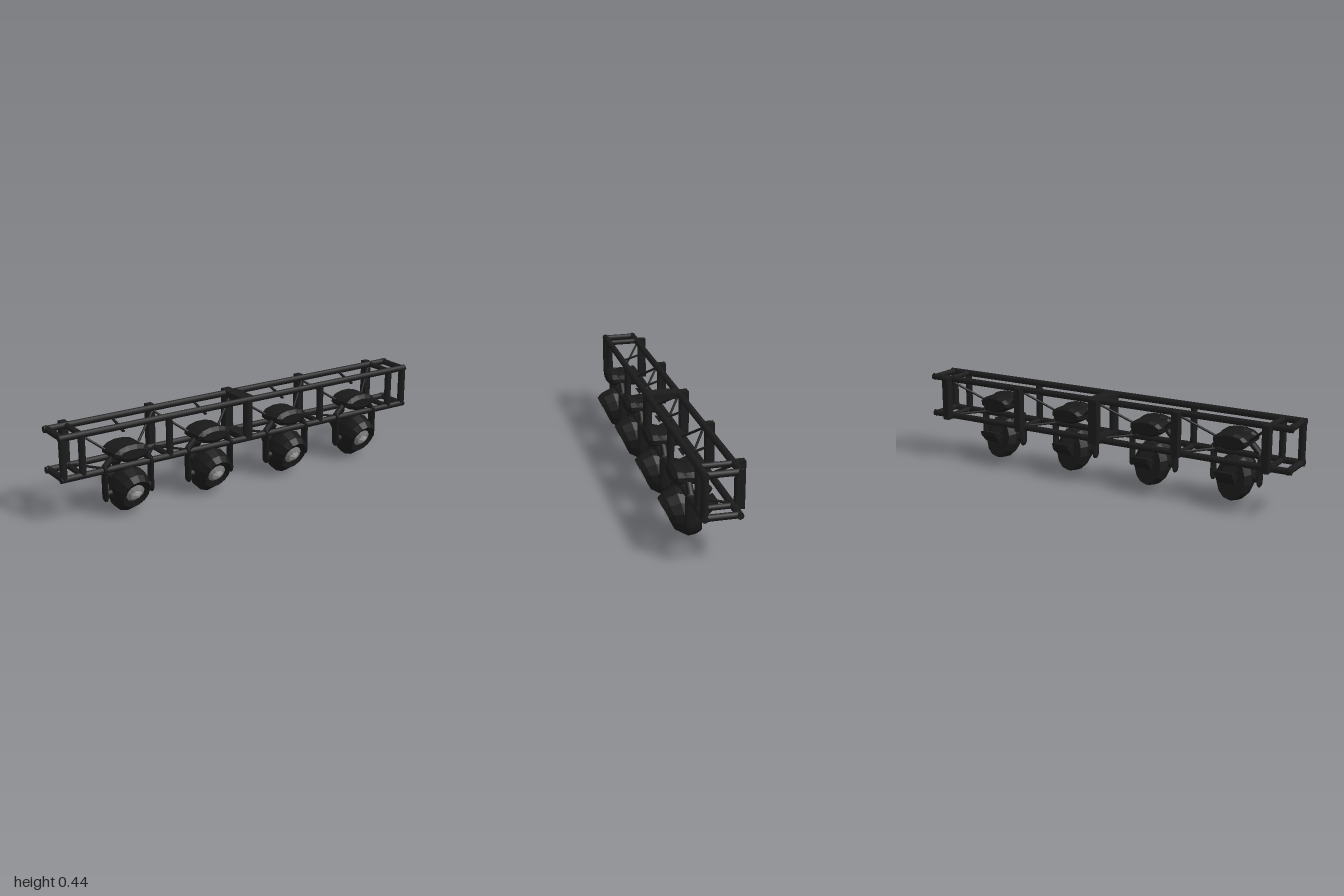
import * as THREE from 'three';

const mat = (name, color, opts = {}) => {
  const m = new THREE.MeshStandardMaterial({ color, ...opts });
  m.name = name;
  return m;
};

export function createModel() {
  const trussBlack = mat('trussBlack', 0x1b1b1c);
  const lampBlack = mat('lampBlack', 0x191919, { side: THREE.DoubleSide });
  const lensGrey = mat('lensGrey', 0x7c7c7c, { flatShading: true });
  const lensLight = mat('lensLight', 0xa6a6a6, { flatShading: true });

  const model = new THREE.Group();
  const add = (parent, name, geo, m, x = 0, y = 0, z = 0) => {
    const mesh = new THREE.Mesh(geo, m);
    mesh.name = name;
    mesh.position.set(x, y, z);
    parent.add(mesh);
    return mesh;
  };

  // Round bar between two points
  const bar = (parent, name, a, b, r, m = trussBlack) => {
    const p = new THREE.Vector3(...a), q = new THREE.Vector3(...b);
    const d = q.clone().sub(p);
    const mesh = add(parent, name, new THREE.CylinderGeometry(r, r, d.length(), 8), m);
    mesh.position.copy(p).add(q).multiplyScalar(0.5);
    mesh.quaternion.setFromUnitVectors(new THREE.Vector3(0, 1, 0), d.normalize());
    return mesh;
  };

  // Loft through elliptical rings given as [z, y, halfZ, halfY, halfX]; ends are capped on request
  const loft = (rings, n, capFirst, capLast) => {
    const pos = [], idx = [];
    for (const [z, y, hz, hy, hx] of rings) {
      for (let i = 0; i < n; i++) {
        const t = ((i + 0.5) / n) * Math.PI * 2;
        pos.push(Math.cos(t) * hx, y + Math.sin(t) * hy, z + Math.sin(t) * hz);
      }
    }
    for (let r = 0; r < rings.length - 1; r++) {
      for (let i = 0; i < n; i++) {
        const a = r * n + i, b = r * n + (i + 1) % n;
        idx.push(a, a + n, b, b, a + n, b + n);
      }
    }
    const last = (rings.length - 1) * n;
    for (let i = 1; i < n - 1; i++) {
      if (capFirst) idx.push(0, i, i + 1);
      if (capLast) idx.push(last, last + i + 1, last + i);
    }
    const g = new THREE.BufferGeometry();
    g.setAttribute('position', new THREE.Float32BufferAttribute(pos, 3));
    g.setIndex(idx);
    const flat = g.toNonIndexed();
    flat.computeVertexNormals();
    return flat;
  };

  // Side outline in (z, y), extruded across x
  const sidePlate = (points, width) => {
    const shape = new THREE.Shape(points.map(([z, y]) => new THREE.Vector2(-z, y)));
    const g = new THREE.ExtrudeGeometry(shape, { depth: width, bevelEnabled: false });
    g.translate(0, 0, -width / 2);
    return g.rotateY(Math.PI / 2);
  };

  // Truss: four long chords
  const truss = new THREE.Group();
  truss.name = 'truss';
  model.add(truss);
  const top = 0.418, low = 0.224, front = 0.046, back = -0.107;
  for (const y of [top, low])
    for (const z of [front, back]) bar(truss, 'chord', [-1, y, z], [1, y, z], 0.0165);

  // End frames, open at the back
  for (const x of [-0.984, 0.984]) {
    bar(truss, 'endPost', [x, low, front], [x, top, front], 0.018);
    for (const y of [top, low]) bar(truss, 'endCrossbar', [x, y, front], [x, y, back - 0.01], 0.016);
  }

  // Inner frames with posts standing proud of the back
  for (const x of [-0.89, -0.44, 0, 0.44, 0.89]) {
    const w = x === 0 ? 0.046 : 0.034;
    bar(truss, 'frontPost', [x, low, front], [x, top, front], w / 2);
    add(truss, 'backPost', new THREE.BoxGeometry(w, 0.22, 0.04), trussBlack, x, 0.32, -0.136);
    bar(truss, 'lowerCrossbar', [x, low, front], [x, low, back], 0.014);
    if (Math.abs(x) !== 0.44) bar(truss, 'upperCrossbar', [x, top, front], [x, top, back], 0.014);
  }
  add(truss, 'centrePlate', new THREE.BoxGeometry(0.07, 0.03, 0.16), trussBlack, 0, top, -0.03);
  add(truss, 'centreLowerPlate', new THREE.BoxGeometry(0.06, 0.03, 0.16), trussBlack, 0, low, -0.03);

  // One moving lamp
  const buildLamp = () => {
    const lamp = new THREE.Group();
    lamp.name = 'lamp';

    // Base: front pod, neck and rear pod
    const base = loft([
      [0.112, 0.30, 0, 0.022, 0.07], [0.095, 0.30, 0, 0.04, 0.092],
      [0.072, 0.30, 0, 0.04, 0.095], [0.055, 0.30, 0, 0.03, 0.09],
      [0.03, 0.295, 0, 0.04, 0.092], [-0.03, 0.295, 0, 0.042, 0.09],
      [-0.046, 0.295, 0, 0.03, 0.075]], 12, true, true);
    add(lamp, 'base', base, lampBlack);

    // Yoke: shoulder, drooping arms and pivots on both sides
    for (const s of [-1, 1]) {
      bar(lamp, 'yokeShoulder', [s * 0.07, 0.285, 0.045], [s * 0.118, 0.235, 0.045], 0.016, lampBlack);
      const arm = add(lamp, 'yokeArm', new THREE.CapsuleGeometry(0.025, 0.13, 4, 10), lampBlack, s * 0.119, 0.162, 0.048);
      arm.scale.x = 0.45;
      bar(lamp, 'pivot', [s * 0.07, 0.11, 0.048], [s * 0.12, 0.11, 0.048], 0.018, lampBlack);
    }

    // Head: tapered shell with a recessed mouth
    const head = loft([
      [0.112, 0.11, 0.02, 0.045, 0.042], [0.125, 0.107, 0.036, 0.074, 0.068],
      [0.1, 0.112, 0.036, 0.094, 0.084], [0.06, 0.113, 0.028, 0.116, 0.093],
      [0.02, 0.11, 0.022, 0.109, 0.09], [-0.015, 0.109, 0.016, 0.096, 0.07]], 14, false, true);
    add(lamp, 'head', head, lampBlack);

    // Lens: faceted grey dome with a lighter centre
    const lens = new THREE.Group();
    lens.name = 'lens';
    lens.position.set(0, 0.11, 0.113);
    lens.rotation.x = 0.43;
    lamp.add(lens);
    const rim = new THREE.CylinderGeometry(0.03, 0.053, 0.016, 10).rotateX(Math.PI / 2);
    add(lens, 'lensRim', rim, lensGrey, 0, 0, 0.004);
    const centre = new THREE.ConeGeometry(0.031, 0.012, 7).rotateX(Math.PI / 2);
    add(lens, 'lensCentre', centre, lensLight, 0, 0, 0.017);

    // Rear handle and brackets
    add(lamp, 'rearHandle', sidePlate([[-0.04, 0.097], [-0.055, 0.1], [-0.095, 0.14],
      [-0.1, 0.163], [-0.07, 0.15], [-0.038, 0.148], [-0.037, 0.125], [-0.055, 0.12]], 0.09), lampBlack);
    add(lamp, 'rearBracket', sidePlate([[0.01, 0.215], [-0.005, 0.16], [-0.04, 0.145], [-0.005, 0.2]], 0.06), lampBlack);
    add(lamp, 'rearClip', sidePlate([[-0.05, 0.215], [-0.08, 0.215], [-0.067, 0.19]], 0.04), lampBlack);

    // Thin safety strap above the base
    add(lamp, 'safetyStrap', sidePlate([[0.025, 0.385], [0.02, 0.378], [-0.08, 0.41], [-0.08, 0.416]], 0.012), lampBlack);
    return lamp;
  };

  const prototype = buildLamp();
  for (const x of [-0.665, -0.225, 0.225, 0.665]) {
    const lamp = prototype.clone();
    lamp.position.x = x;
    model.add(lamp);
    // Thin braces from the neighbouring frames down to the lamp base
    const inner = Math.abs(x) < 0.4;
    const posts = inner ? [0, Math.sign(x) * 0.44] : [Math.sign(x) * 0.44, Math.sign(x) * 0.88];
    for (const p of posts) {
      const s = Math.sign(p - x);
      bar(truss, 'brace', [p, 0.405, back], [x + s * 0.08, 0.3, 0.0], 0.006);
      bar(truss, 'lowerBrace', [p, 0.228, back], [x + s * 0.1, 0.228, front], 0.006);
    }
  }
  return model;
}
